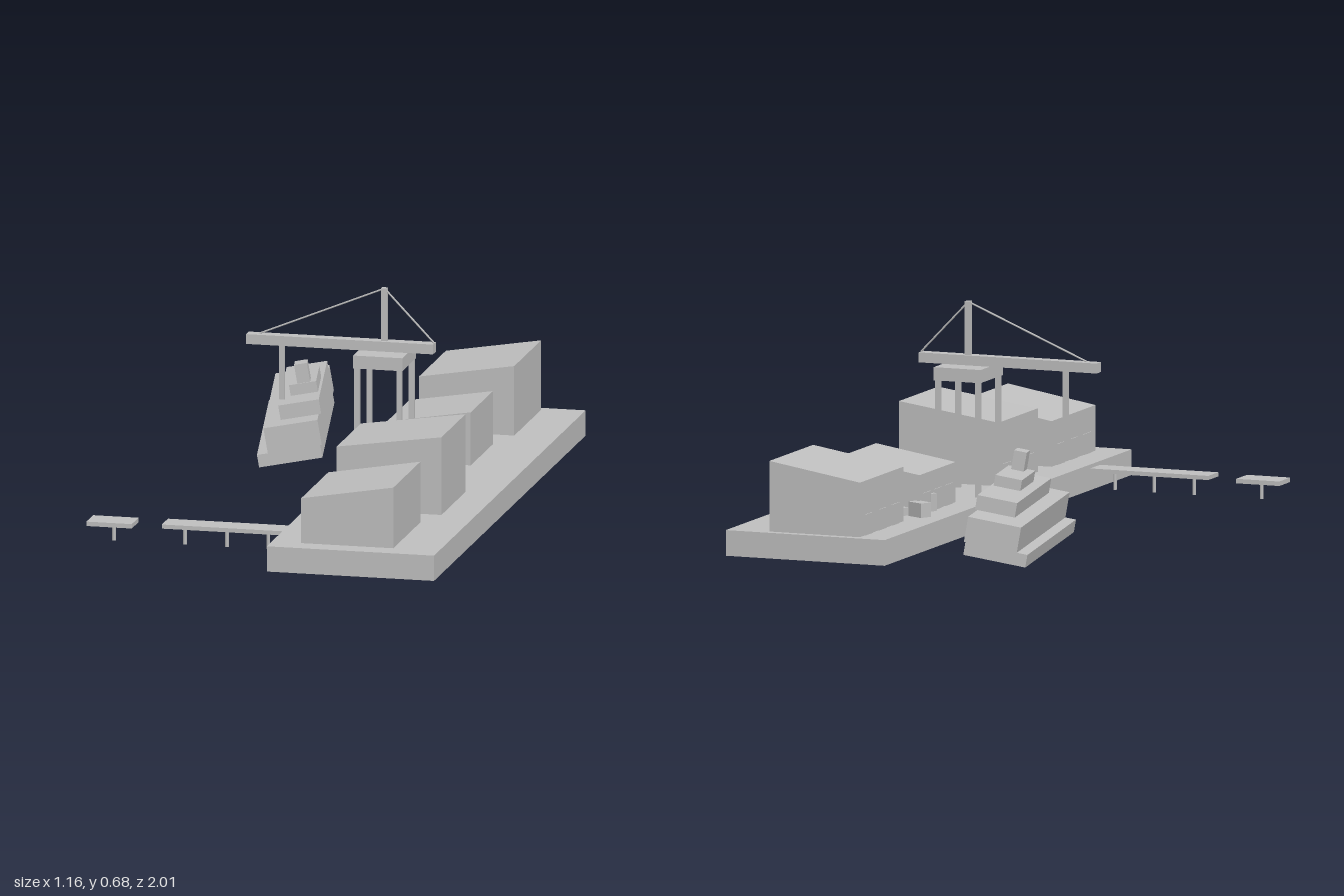
import * as THREE from 'three';

export function createModel() {
  const root = new THREE.Group();
  const grey = new THREE.MeshStandardMaterial({ name: 'plain grey', color: 0xc0c0c0 });

  const add = (name, geometry, parent = root) => {
    const mesh = new THREE.Mesh(geometry, grey);
    mesh.name = name;
    parent.add(mesh);
    return mesh;
  };
  // Box given by its extents along each axis
  const box = (name, x0, x1, y0, y1, z0, z1, parent = root) => {
    const mesh = add(name, new THREE.BoxGeometry(x1 - x0, y1 - y0, z1 - z0), parent);
    mesh.position.set((x0 + x1) / 2, (y0 + y1) / 2, (z0 + z1) / 2);
    return mesh;
  };
  const group = (name) => {
    const g = new THREE.Group();
    g.name = name;
    root.add(g);
    return g;
  };

  // Quay
  box('quay', 0.05, 0.58, 0, 0.08, -0.985, 0.998);

  // Warehouses with single-pitch roofs and thin doors on the water side
  const warehouses = [
    // back x, low eave, high eave, z start, z end
    [0.445, 0.25, 0.3, -0.96, -0.608],
    [0.408, 0.205, 0.248, -0.482, -0.192],
    [0.475, 0.278, 0.326, 0.153, 0.468],
    [0.435, 0.222, 0.272, 0.578, 0.932],
  ];
  for (const [x1, low, high, z0, z1] of warehouses) {
    const g = group('warehouse');
    const side = new THREE.Shape([
      new THREE.Vector2(0.143, 0.08), new THREE.Vector2(x1, 0.08),
      new THREE.Vector2(x1, high), new THREE.Vector2(0.143, low),
    ]);
    const walls = add('warehouseWalls',
      new THREE.ExtrudeGeometry(side, { depth: z1 - z0, bevelEnabled: false }), g);
    walls.position.z = z0;
    for (const t of [0.2, 0.5, 0.8]) {
      const z = z0 + t * (z1 - z0);
      box('warehouseDoor', 0.14, 0.144, 0.08, 0.145, z - 0.03, z + 0.03, g);
    }
  }

  // Loose crates between the rear warehouses
  const crates = [
    // x, z, width, height, length, turn
    [0.135, -0.5, 0.06, 0.045, 0.04, -0.45],
    [0.222, -0.545, 0.045, 0.025, 0.13, -0.43],
    [0.148, -0.385, 0.03, 0.055, 0.03, -0.3],
  ];
  for (const [x, z, w, h, l, turn] of crates) {
    const crate = add('crate', new THREE.BoxGeometry(w, h, l));
    crate.position.set(x, 0.08 + h / 2, z);
    crate.rotation.y = turn;
  }

  // Gantry crane
  const crane = group('crane');
  const cz = 0.007;
  for (const x of [0.116, 0.25]) {
    for (const s of [-1, 1]) {
      const z = cz + s * 0.08;
      box('craneLeg', x - 0.008, x + 0.008, 0.08, 0.437, z - 0.007, z + 0.007, crane);
    }
  }
  box('cranePlatform', 0.105, 0.261, 0.437, 0.478, cz - 0.09, cz + 0.09, crane);
  box('craneBoom', -0.252, 0.341, 0.478, 0.509, cz - 0.018, cz + 0.018, crane);
  box('craneMast', 0.174, 0.192, 0.509, 0.676, cz - 0.008, cz + 0.008, crane);
  box('craneHoist', -0.151, -0.133, 0.305, 0.478, cz - 0.003, cz + 0.003, crane);
  for (const x of [-0.215, 0.341]) {
    const stay = new THREE.LineCurve3(
      new THREE.Vector3(0.183, 0.674, cz), new THREE.Vector3(x, 0.509, cz));
    add('craneStay', new THREE.TubeGeometry(stay, 1, 0.003, 6), crane);
  }

  // Jetty and the detached platform beyond it
  const jetty = group('jetty');
  box('jettyDeck', -0.344, 0.05, 0.055, 0.068, 0.665, 0.745, jetty);
  box('outerDeck', -0.582, -0.438, 0.051, 0.065, 0.662, 0.75, jetty);
  for (const x of [-0.505, -0.28, -0.147, -0.016]) {
    const post = add('jettyPost', new THREE.CylinderGeometry(0.006, 0.006, 0.055, 8), jetty);
    post.position.set(x, 0.0275, 0.706);
  }

  // Listing ship, built from stepped tiers
  const ship = group('ship');
  ship.position.set(-0.25, 0.037, -0.632);
  ship.rotation.set(0, 0.187, 0.17, 'YXZ');
  box('shipKeel', -0.099, 0.099, 0, 0.04, -0.365, 0.365, ship);
  box('shipHull', -0.065, 0.104, 0.04, 0.12, -0.365, 0.365, ship);
  box('shipLowerDeck', -0.015, 0.112, 0.12, 0.166, -0.225, 0.287, ship);
  box('shipUpperDeck', 0.019, 0.104, 0.166, 0.2, -0.02, 0.18, ship);
  box('shipFunnel', 0.045, 0.085, 0.2, 0.26, 0.125, 0.175, ship);

  return root;
}
